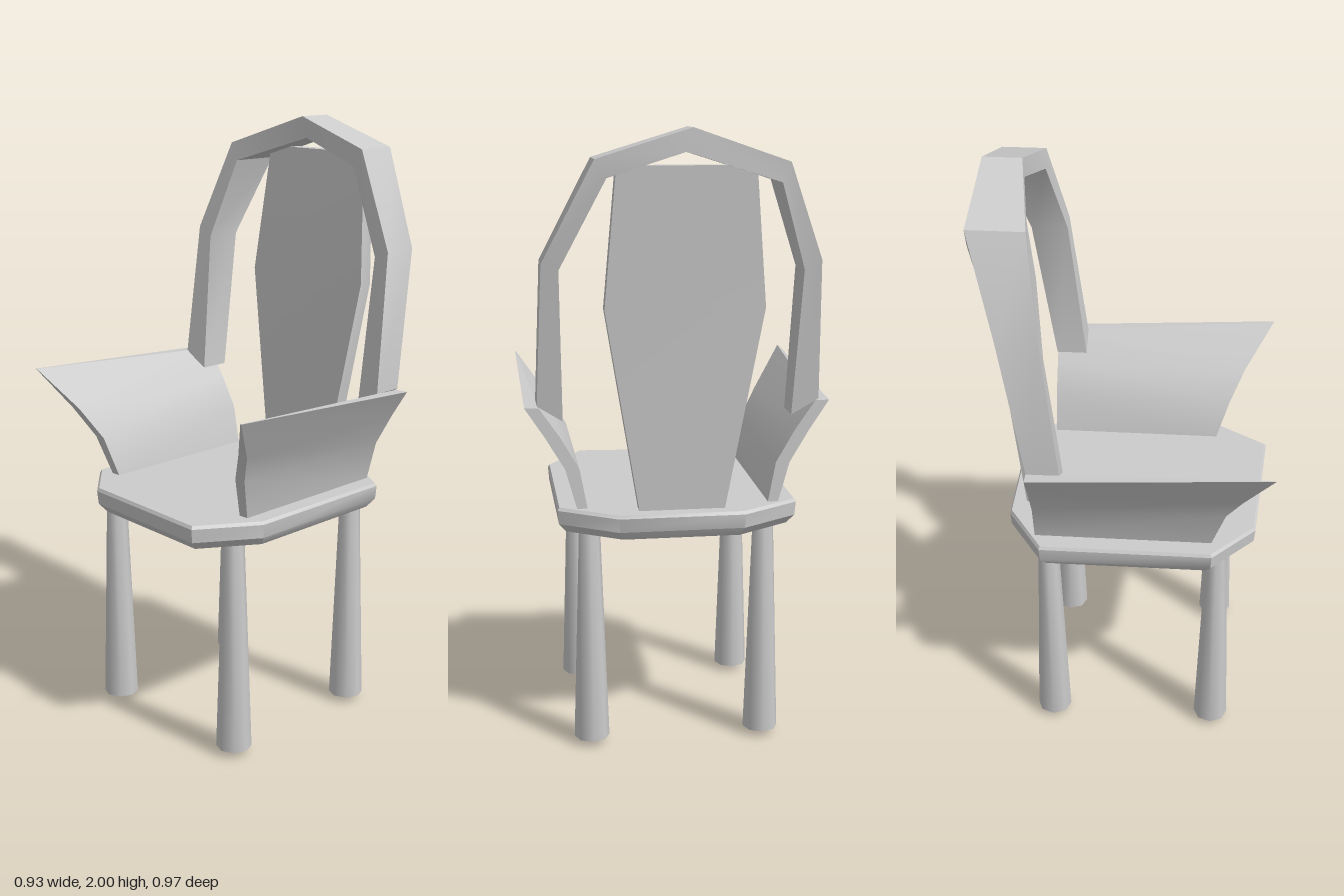
import * as THREE from 'three';
import { toCreasedNormals } from 'three/addons/utils/BufferGeometryUtils.js';

const material = new THREE.MeshStandardMaterial({ color: 0xcccccc });

// Skins a list of equal-length rings of [x, y, z] points and caps both ends.
function loft(rings, crease = 0.6) {
  const n = rings[0].length;
  const points = rings.flat();
  const tris = [];
  for (let r = 0; r < rings.length - 1; r++) {
    for (let i = 0; i < n; i++) {
      const j = (i + 1) % n, a = r * n, b = a + n;
      tris.push([a + i, a + j, b + j], [a + i, b + j, b + i]);
    }
  }
  const last = (rings.length - 1) * n;
  for (let i = 1; i < n - 1; i++) {
    tris.push([0, i + 1, i], [last, last + i, last + i + 1]);
  }
  // Turn the faces outwards whichever way the rings run
  const v = points.map((p) => new THREE.Vector3(...p));
  const volume = tris.reduce((s, [a, b, c]) => s + v[a].dot(v[b].clone().cross(v[c])), 0);
  if (volume < 0) tris.forEach((t) => t.reverse());
  const geometry = new THREE.BufferGeometry();
  geometry.setAttribute('position', new THREE.Float32BufferAttribute(points.flat(), 3));
  geometry.setIndex(tris.flat());
  return toCreasedNormals(geometry, crease);
}

export function createModel() {
  const chair = new THREE.Group();
  chair.name = 'chair';
  const add = (name, geometry, x = 0, z = 0) => {
    const mesh = new THREE.Mesh(geometry, material);
    mesh.name = name;
    mesh.position.set(x, 0, z);
    chair.add(mesh);
  };

  // Seat: eight-cornered slab, narrowing towards its underside
  const outline = [[-0.455, 0.26], [-0.265, 0.385], [0.28, 0.385], [0.4, 0.2],
    [0.4, -0.2], [0.28, -0.388], [-0.28, -0.388], [-0.42, -0.235]];
  const layers = [[0.73, 0.93], [0.76, 0.99], [0.805, 1], [0.815, 0.985]];
  add('seat', loft(layers.map(([y, s]) => outline.map(([x, z]) => [x * s, y, z * s]))));

  // Legs: thicker towards the foot, with a blunt point
  const legProfile = [[0, 0], [0.058, 0.022], [0.034, 0.74]].map((p) => new THREE.Vector2(...p));
  const leg = toCreasedNormals(new THREE.LatheGeometry(legProfile, 8), 0.9);
  for (const z of [0.283, -0.283]) {
    add('frontLeg', leg, -0.295, z);
    add('backLeg', leg, 0.262, z);
  }

  // Arms: curved boards flaring outwards, thinning to a tip at the front
  // Each row: back y, inner z, outer z, then front x, y, inner z, outer z
  const armRows = [
    [0.81, 0.29, 0.323, -0.275, 0.81, 0.29, 0.323],
    [0.945, 0.315, 0.36, -0.32, 0.95, 0.315, 0.355],
    [1.05, 0.375, 0.422, -0.37, 1.05, 0.378, 0.415],
    [1.145, 0.44, 0.484, -0.465, 1.188, 0.481, 0.485],
  ];
  for (const side of [1, -1]) {
    add(side > 0 ? 'leftArm' : 'rightArm', loft(armRows.map(
      ([by, bi, bo, fx, fy, fi, fo]) => [
        [fx, fy, fi * side], [0.3, by, bi * side], [0.3, by, bo * side], [fx, fy, fo * side],
      ])));
  }

  // Back panel: leaning board, widest above the middle
  // Each row: y, front x, back x, left z, right z
  const panelRows = [[0.805, 0.3, 0.35, 0.13, -0.14], [1.46, 0.345, 0.392, 0.24, -0.255],
    [1.89, 0.385, 0.43, 0.205, -0.215]];
  add('backPanel', loft(panelRows.map(([y, f, b, l, r]) => [
    [f, y, l], [b, y, l], [b, y, r], [f, y, r]]), 0.3));

  // Back hoop: flat band rising from one arm, over the panel, to the other
  // Each row: outer z, outer y, inner z, inner y, front x, back x
  const hoopRows = [
    [0.445, 1.15, 0.365, 1.1, 0.195, 0.298],
    [0.428, 1.6, 0.375, 1.58, 0.25, 0.373],
    [0.27, 1.91, 0.235, 1.855, 0.298, 0.44],
    [-0.02, 2, 0, 1.93, 0.33, 0.452],
    [-0.31, 1.9, -0.285, 1.84, 0.285, 0.463],
    [-0.432, 1.6, -0.378, 1.57, 0.245, 0.373],
    [-0.45, 1.15, -0.362, 1.1, 0.195, 0.298],
  ];
  add('backHoop', loft(hoopRows.map(([oz, oy, iz, iy, f, b]) => [
    [f, oy, oz], [b, oy, oz], [b, iy, iz], [f, iy, iz]])));

  return chair;
}
